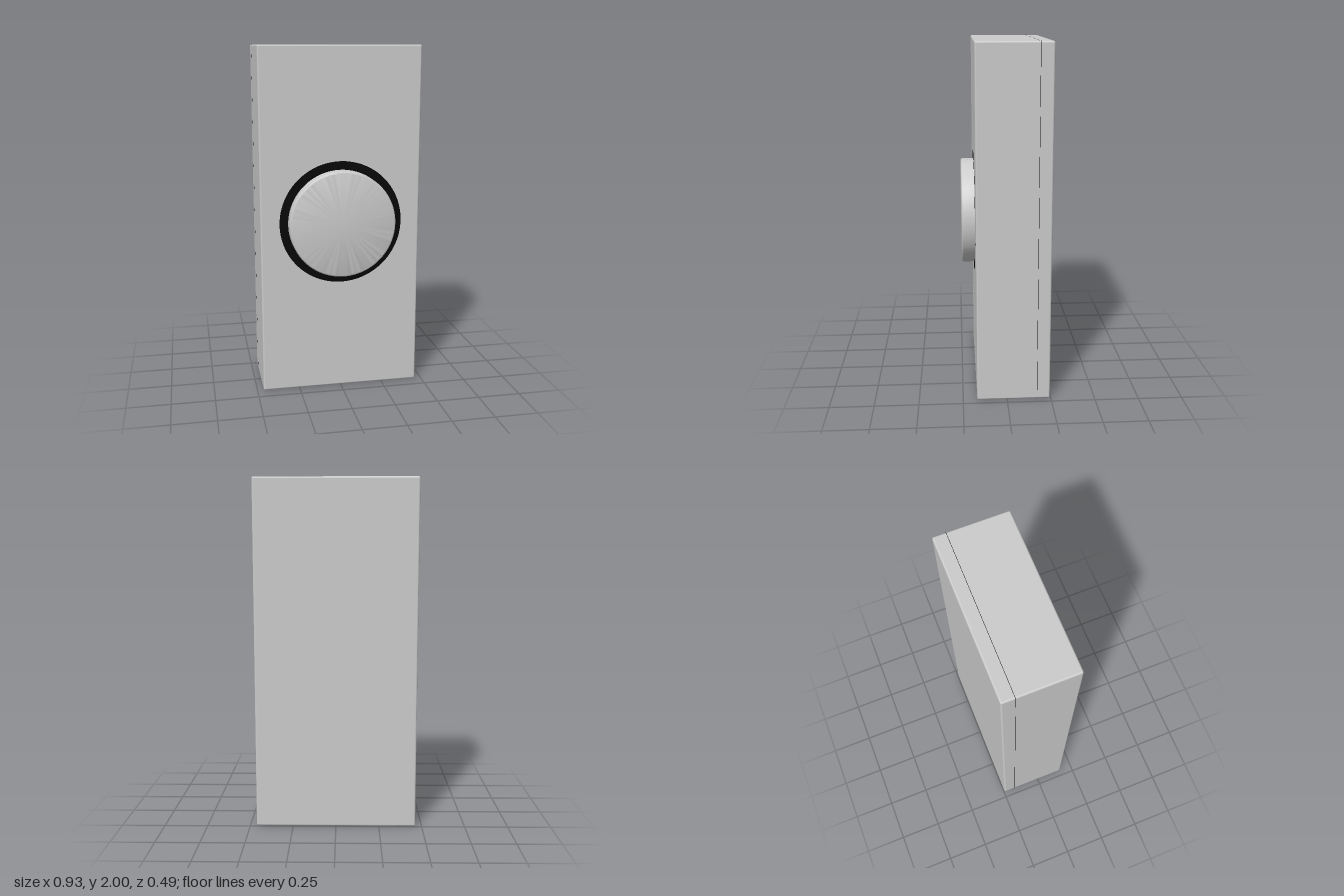
import * as THREE from 'three';
import { RoundedBoxGeometry } from 'three/addons/geometries/RoundedBoxGeometry.js';
import { toCreasedNormals } from 'three/addons/utils/BufferGeometryUtils.js';

const WIDTH = 0.926, HEIGHT = 2, BACK = -0.245, FRONT = 0.17, BUTTON_FRONT = 0.245;
const MID = HEIGHT / 2;

export function createModel() {
  const group = new THREE.Group();
  const grey = new THREE.MeshStandardMaterial({ color: 0xcccccc });
  const black = new THREE.MeshStandardMaterial({ color: 0x050505 });

  const add = (name, geometry, material, y, z) => {
    const mesh = new THREE.Mesh(geometry, material);
    mesh.name = name;
    mesh.position.set(0, y, z);
    group.add(mesh);
    return mesh;
  };

  // Housing block with small rounded edges
  const depth = FRONT - BACK;
  add('housing', new RoundedBoxGeometry(WIDTH, HEIGHT, depth, 4, 0.01), grey, MID, (FRONT + BACK) / 2);

  // Hairline joint between the cover and the back plate
  add('seam', new THREE.BoxGeometry(WIDTH + 0.0004, HEIGHT + 0.0004, 0.002), black, MID, -0.171);

  // Dark ring around the button
  add('buttonRing', new THREE.RingGeometry(0.29, 0.355, 96), black, MID, FRONT + 0.001);

  // Round push button with a softened front edge
  const r = 0.306, bevel = 0.012, length = BUTTON_FRONT - FRONT;
  const profile = [new THREE.Vector2(r, -0.02)];
  for (let i = 0; i <= 5; i++) {
    const a = (i / 5) * Math.PI / 2;
    profile.push(new THREE.Vector2(r - bevel + bevel * Math.cos(a), length - bevel + bevel * Math.sin(a)));
  }
  profile.push(new THREE.Vector2(0, length));
  const button = toCreasedNormals(new THREE.LatheGeometry(profile, 96), 0.6);
  button.rotateX(Math.PI / 2);
  add('button', button, grey, MID, FRONT);

  return group;
}
